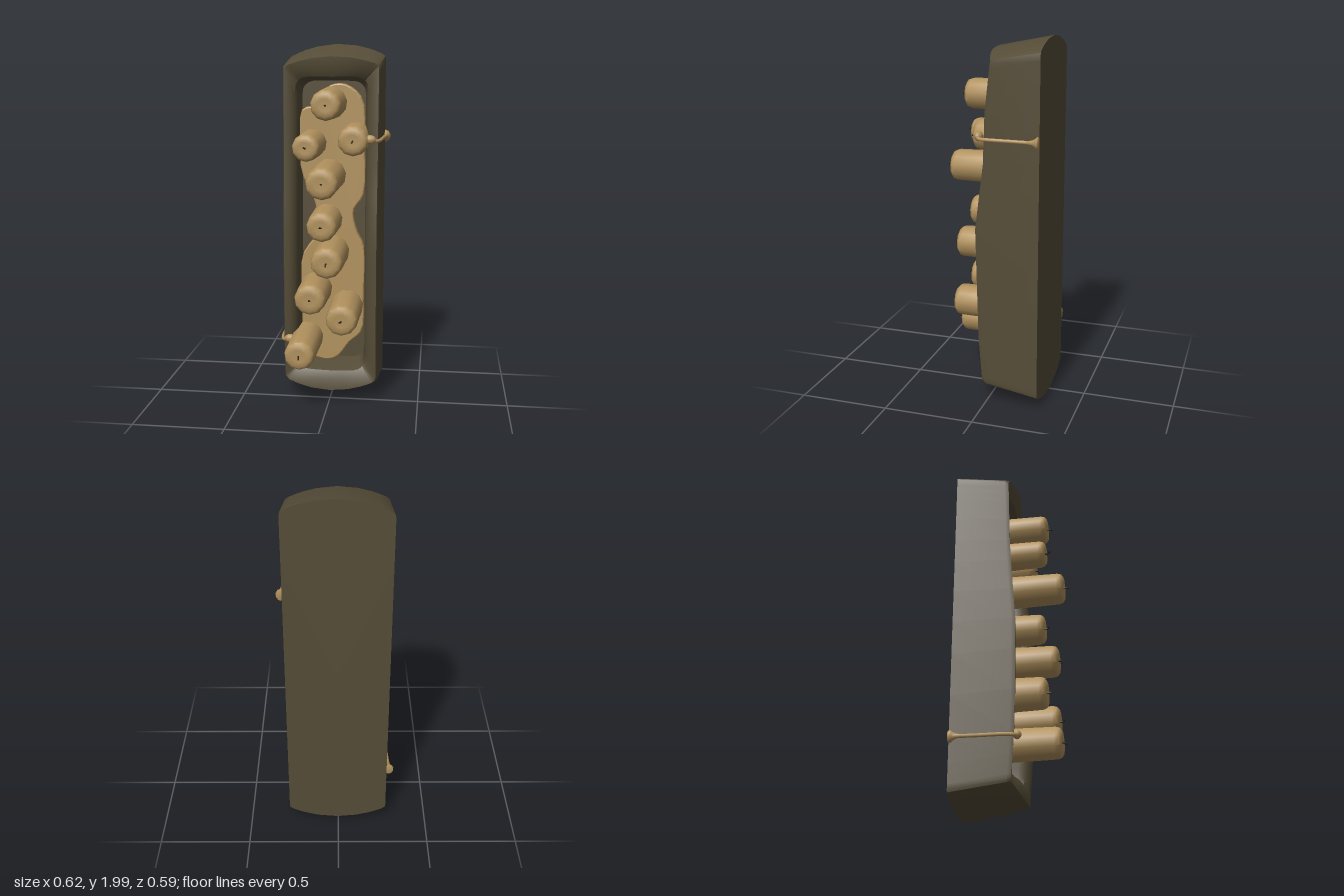
import * as THREE from 'three';
import { toCreasedNormals } from 'three/addons/utils/BufferGeometryUtils.js';

const wood = new THREE.MeshStandardMaterial({ name: 'dark wood', color: 0x564d38 });
const wax = new THREE.MeshStandardMaterial({ name: 'tan wax', color: 0xb2925e });
const char = new THREE.MeshStandardMaterial({ name: 'charred wick', color: 0x2a241a });
const BACK = -0.295;

function mesh(name, geometry, material) {
  const m = new THREE.Mesh(geometry, material);
  m.name = name;
  return m;
}

// straight-line interpolation through [key, value] pairs
function lerpTable(table, k) {
  for (let i = 1; i < table.length; i++) {
    const [k0, a] = table[i - 1], [k1, b] = table[i];
    if (k <= k1) return a + (b - a) * Math.max(0, (k - k0) / (k1 - k0));
  }
  return table[table.length - 1][1];
}

// points running anticlockwise round the unit square
function squareLoop() {
  const us = [-1, -0.92, -0.8, -0.65, -0.4, 0, 0.4, 0.65, 0.8, 0.92, 1];
  const vs = [-1, -0.98, -0.95, -0.9, -0.84, -0.7, -0.45, -0.2, 0, 0.2, 0.4, 0.55, 0.7, 0.84, 0.9, 0.95, 0.98, 1];
  const loop = [];
  us.slice(0, -1).forEach(u => loop.push([u, -1]));
  vs.slice(0, -1).forEach(v => loop.push([1, v]));
  us.slice(1).reverse().forEach(u => loop.push([u, 1]));
  vs.slice(1).reverse().forEach(v => loop.push([-1, v]));
  return loop;
}

// worn front edge of the trough
const rightEdge = [[-1, 0.02], [-0.7, 0.04], [0, 0.055], [0.4, 0.01], [0.7, 0], [1, -0.03]];
const leftEdge = [[-1, 0.02], [-0.6, 0.04], [0, 0.04], [0.5, 0.01], [1, 0]];
function rimZ(u, v) {
  const side = THREE.MathUtils.lerp(lerpTable(leftEdge, v), lerpTable(rightEdge, v), (u + 1) / 2);
  return side + 0.035 * (1 - u * u) * v * v;
}

// carved trough: cross-section loops from the back, over the rim and into the hollow
function troughGeometry() {
  const sq = squareLoop(), n = sq.length;
  const levels = [
    { z: () => BACK, w: 0.276, h: 0.925, bow: 0.07, r: 0.012 },
    { z: (u, v) => rimZ(u, v) - 0.02, w: 0.263, h: 0.885, bow: 0.052, r: 0.012 },
    { z: rimZ, w: 0.256, h: 0.878, bow: 0.05, r: 0.02 },
    { z: (u, v) => rimZ(u, v) - 0.005, w: 0.225, h: 0.845, bow: 0.02, r: 0.05 },
    { z: (u, v) => rimZ(u, v) - 0.025, w: 0.2, h: 0.82, bow: 0, r: 0.07 },
    { z: (u, v) => rimZ(u, v) - 0.06, w: 0.188, h: 0.81, bow: 0, r: 0.07 },
    { z: () => -0.15, w: 0.178, h: 0.795, bow: 0, r: 0.07 },
  ];
  const pos = [], idx = [];
  for (const L of levels) for (const [u, v] of sq) {
    let x = u * L.w, y = v * L.h;
    const cx = THREE.MathUtils.clamp(x, L.r - L.w, L.w - L.r);
    const cy = THREE.MathUtils.clamp(y, L.r - L.h, L.h - L.r);
    const d = Math.hypot(x - cx, y - cy);
    if (x !== cx && y !== cy) { x = cx + (x - cx) * L.r / d; y = cy + (y - cy) * L.r / d; }
    const lean = 0.1 * u * Math.abs(v) * L.bow;
    pos.push(x + 0.004, 1.002 + y + L.bow * (1 - u * u) * v + (v > 0 ? lean : 0), L.z(u, v));
  }
  for (let l = 0; l < levels.length - 1; l++) for (let i = 0; i < n; i++) {
    const j = (i + 1) % n, a = l * n + i, b = l * n + j;
    idx.push(a, b, b + n, a, b + n, a + n);
  }
  // flat back and hollow floor
  const c = pos.length / 3, last = (levels.length - 1) * n;
  pos.push(0, 1, BACK, 0, 1, -0.15);
  for (let i = 0; i < n; i++) {
    const j = (i + 1) % n;
    idx.push(c, j, i, c + 1, last + i, last + j);
  }
  const g = new THREE.BufferGeometry();
  g.setAttribute('position', new THREE.Float32BufferAttribute(pos, 3));
  g.setIndex(idx);
  return toCreasedNormals(g, 0.6);
}

// pool of wax with an uneven edge
function poolGeometry() {
  const edge = [[-0.15, 0.25], [-0.04, 0.2], [0.03, 0.22], [0.1, 0.31], [0.17, 0.38], [0.18, 0.6], [0.18, 0.87],
    [0.14, 0.96], [0.12, 1.08], [0.175, 1.17], [0.18, 1.45], [0.165, 1.7], [0.07, 1.78], [-0.02, 1.77],
    [-0.08, 1.67], [-0.17, 1.64], [-0.175, 1.3], [-0.1, 1.13], [-0.09, 0.95], [-0.17, 0.82], [-0.175, 0.5]];
  const curve = new THREE.CatmullRomCurve3(edge.map(p => new THREE.Vector3(p[0], p[1], 0)), true);
  const shape = new THREE.Shape(curve.getPoints(70).slice(0, -1).map(p => new THREE.Vector2(p.x, p.y)));
  return new THREE.ExtrudeGeometry(shape, {
    depth: 0.035, bevelThickness: 0.012, bevelSize: 0.008, bevelOffset: -0.008, bevelSegments: 2,
  });
}

// candle pointing to the front, with a softened tip and a bent wick
function candle(x, y, r, front, i) {
  const g = new THREE.Group();
  g.name = 'candle';
  const len = front + 0.14;
  const profile = [[r * 1.04, 0], [r, len * 0.5], [r * 0.97, len - 0.035], [r * 0.9, len - 0.014],
    [r * 0.72, len - 0.002], [r * 0.4, len - 0.002], [0, len - 0.006]];
  const body = new THREE.LatheGeometry(profile.map(p => new THREE.Vector2(...p)), 11);
  body.rotateX(Math.PI / 2);
  g.add(mesh('candleBody', toCreasedNormals(body, 0.75), wax));
  const a = i * 2.2;
  const path = new THREE.CatmullRomCurve3([
    new THREE.Vector3(0, 0, len - 0.015),
    new THREE.Vector3(0, 0, len + 0.01),
    new THREE.Vector3(0.012 * Math.cos(a), 0.012 * Math.sin(a), len + 0.024)]);
  g.add(mesh('wick', new THREE.TubeGeometry(path, 4, 0.0045, 5), char));
  g.position.set(x, y, -0.14);
  return g;
}

// wax run over the rim and along the side wall, ending in a flared bead
function drip(side, y, startX) {
  const g = new THREE.Group();
  g.name = 'waxDrip';
  const pts = [[startX, y, 0.05], [0.215, y + 0.008, 0.05], [0.255, y, 0.035], [0.27, y, -0.01],
    [0.275, y, -0.12], [0.281, y, -0.23], [0.286, y, -0.28]];
  const path = new THREE.CatmullRomCurve3(pts.map(p => new THREE.Vector3(p[0] * side, p[1], p[2])));
  g.add(mesh('dripRun', new THREE.TubeGeometry(path, 28, 0.01, 8), wax));
  const lump = mesh('dripLump', new THREE.SphereGeometry(0.028, 10, 8), wax);
  lump.position.set(side * 0.22, y + 0.008, 0.045);
  lump.scale.set(1.2, 0.9, 0.8);
  const flare = [[0, -0.012], [0.03, -0.012], [0.034, -0.003], [0.024, 0.008], [0.014, 0.025], [0.009, 0.055], [0, 0.055]];
  const bead = new THREE.LatheGeometry(flare.map(p => new THREE.Vector2(...p)), 10);
  bead.rotateX(Math.PI / 2);
  const end = mesh('dripBead', bead, wax);
  end.position.set(side * 0.284, y, BACK + 0.013);
  end.scale.x = 0.8;
  g.add(lump, end);
  return g;
}

export function createModel() {
  const model = new THREE.Group();
  model.name = 'candleTrough';
  model.add(mesh('trough', troughGeometry(), wood));

  const pool = mesh('waxPool', poolGeometry(), wax);
  pool.position.z = -0.145;
  model.add(pool);

  // x, y, radius, front z
  const candles = [
    [-0.005, 1.68, 0.085, 0.183], [-0.11, 1.457, 0.077, 0.187], [0.13, 1.487, 0.086, 0.09],
    [-0.015, 1.28, 0.09, 0.272], [-0.03, 1.03, 0.086, 0.165], [0.005, 0.848, 0.09, 0.232],
    [-0.092, 0.63, 0.09, 0.183], [0.085, 0.53, 0.09, 0.222], [-0.14, 0.338, 0.086, 0.264],
  ];
  candles.forEach((c, i) => model.add(candle(...c, i)));

  model.add(drip(1, 1.485, 0.16), drip(-1, 0.36, 0.17));
  return model;
}
